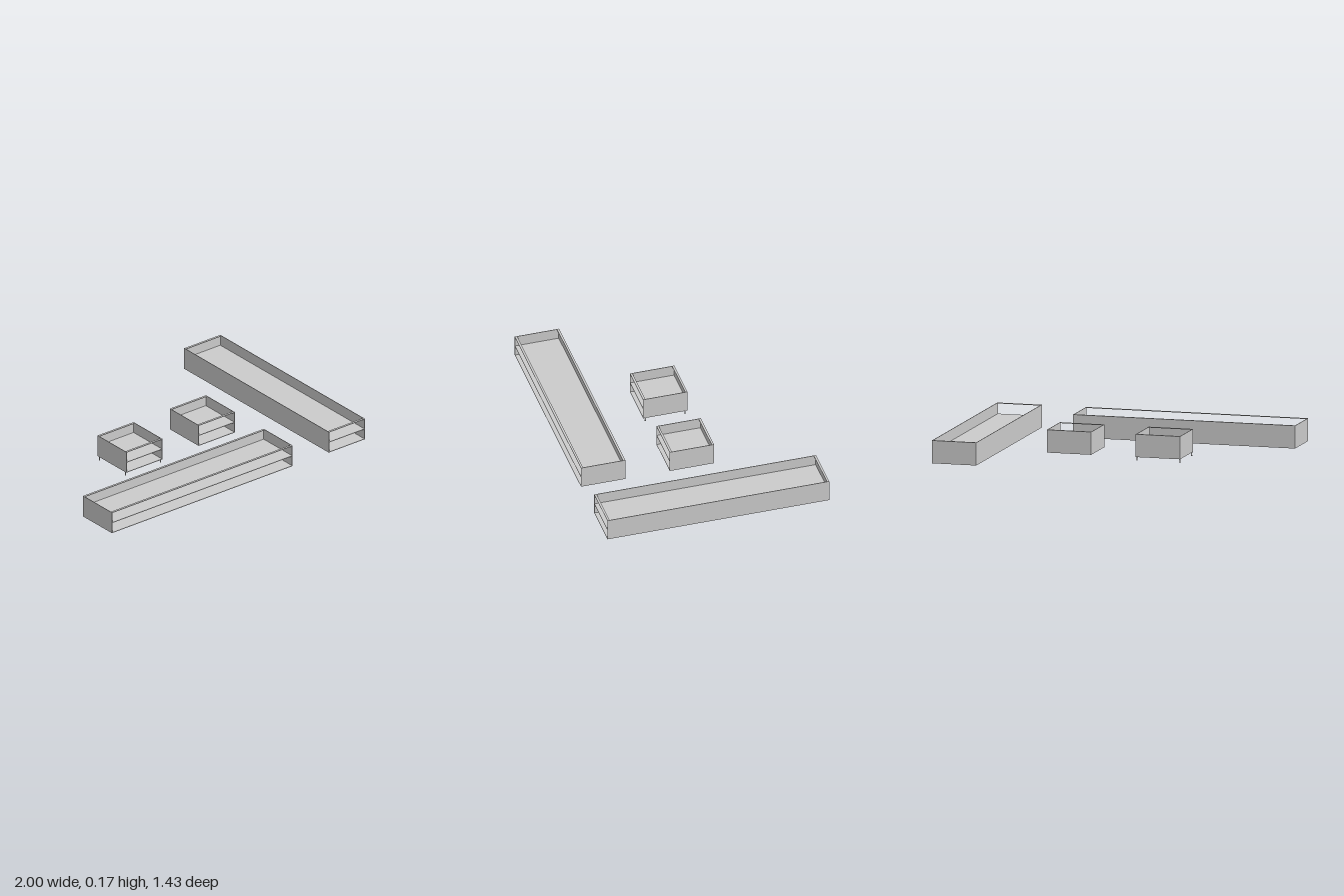
import * as THREE from 'three';

const U = 1 / 7;        // layout module
const T = 0.0036;       // panel thickness
const RAIL = U / 10;    // depth of the top rails
const BASE = 0.024;     // underside of the units
const H = U;            // unit height

const material = new THREE.MeshStandardMaterial({ color: 0xcccccc, flatShading: true });

function panel(parent, name, w, h, d, x, y, z) {
  const mesh = new THREE.Mesh(new THREE.BoxGeometry(w, h, d), material);
  mesh.name = name;
  mesh.position.set(x, y, z);
  parent.add(mesh);
}

// Open-topped, open-fronted unit with a floor, a middle shelf and two top rails
function shelfUnit(name, cx, cz, w, d) {
  const unit = new THREE.Group();
  unit.name = name;
  unit.position.set(cx, BASE, cz);
  const inner = w - 2 * T;
  for (const s of [-1, 1]) {
    panel(unit, s > 0 ? 'leftSide' : 'rightSide', T, H, d, s * (w - T) / 2, H / 2, 0);
  }
  panel(unit, 'back', inner, H - T, T, 0, (H - T) / 2, -(d - T) / 2);
  panel(unit, 'floor', inner, T, d - T, 0, T / 2, T / 2);
  panel(unit, 'shelf', inner, T, d - T, 0, H / 2, T / 2);
  for (const s of [-1, 1]) {
    panel(unit, s > 0 ? 'frontRail' : 'backRail', inner, T, RAIL, 0, H - T / 2, s * (d - RAIL) / 2);
  }
  return unit;
}

// Tiny leg with a mounting head, narrow waist and foot
function addLegs(unit, dx, dz) {
  const profile = [[0, -BASE], [0.004, -BASE], [0.004, -0.019], [0.0028, -0.016],
    [0.0028, -0.008], [0.0045, -0.005], [0.0045, 0], [0, 0]]
    .map(([r, y]) => new THREE.Vector2(r, y));
  const geometry = new THREE.LatheGeometry(profile, 10);
  for (const sx of [-1, 1]) for (const sz of [-1, 1]) {
    const leg = new THREE.Mesh(geometry, material);
    leg.name = 'leg';
    leg.position.set(sx * dx, 0, sz * dz);
    unit.add(leg);
  }
}

export function createModel() {
  const model = new THREE.Group();
  model.name = 'shelfUnits';
  const footed = shelfUnit('footedUnit', -2 * U, 0, 2 * U, 2 * U);
  addLegs(footed, 0.138, 0.128);
  model.add(
    footed,
    shelfUnit('squareUnit', 2 * U, 0, 2 * U, 2 * U),
    shelfUnit('wideUnit', -2 * U, 4 * U, 10 * U, 2 * U),
    shelfUnit('deepUnit', 6 * U, 0, 2 * U, 10 * U),
  );
  return model;
}
